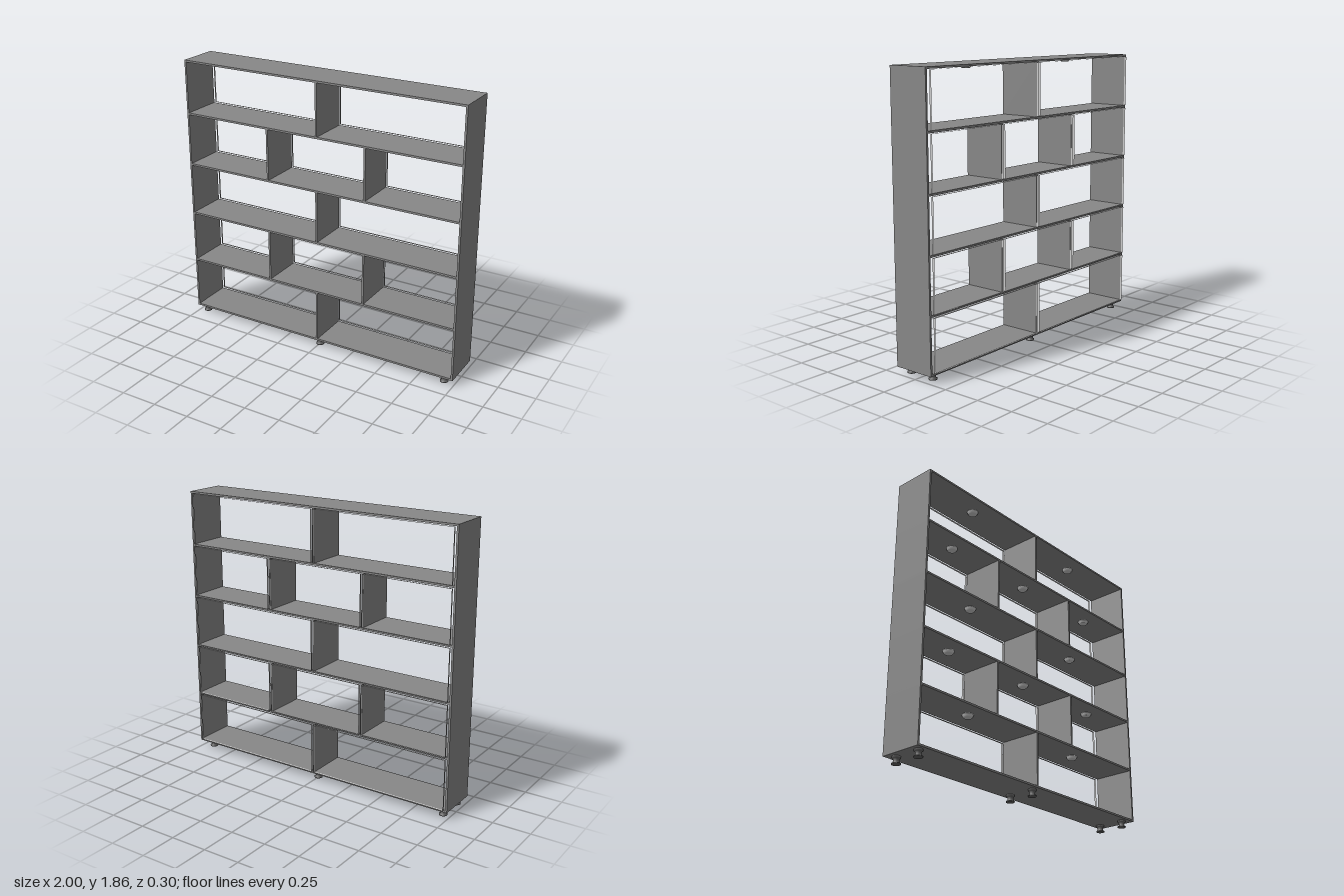
import * as THREE from 'three';

const wood = new THREE.MeshStandardMaterial({ color: 0x888888 });
const pale = new THREE.MeshStandardMaterial({ color: 0xcccccc, side: THREE.DoubleSide });
const dark = new THREE.MeshStandardMaterial({ color: 0x606060 });

const FRONT = 0.15, BACK = -0.133;      // carcass depth
const T = 0.013;                        // board thickness
const ROWS = 5, PITCH = 0.359, BASE = 0.0535;

export function createModel() {
  const root = new THREE.Group();
  root.name = 'bookcase';

  function add(name, geometry, material, x, y, z) {
    const mesh = new THREE.Mesh(geometry, material);
    mesh.name = name;
    mesh.position.set(x, y, z);
    root.add(mesh);
  }

  // Board given by its limits, running the full depth
  function board(name, x0, x1, y0, y1) {
    add(name, new THREE.BoxGeometry(x1 - x0, y1 - y0, FRONT - BACK), wood,
      (x0 + x1) / 2, (y0 + y1) / 2, (FRONT + BACK) / 2);
  }

  // Edge band behind one compartment: a box without its front and back
  function backFrame(x0, x1, y0, y1) {
    const geometry = new THREE.BoxGeometry(x1 - x0, y1 - y0, 0.014);
    geometry.setIndex(Array.from(geometry.index.array.slice(0, 24)));
    geometry.clearGroups();
    add('backFrame', geometry, pale, (x0 + x1) / 2, (y0 + y1) / 2, -0.143);
  }

  // Horizontal boards
  const shelfY = i => BASE + i * PITCH;
  for (let i = 0; i <= ROWS; i++) {
    const name = i === 0 ? 'bottomBoard' : i === ROWS ? 'topBoard' : 'shelf';
    board(name, -1, 1, shelfY(i) - T / 2, shelfY(i) + T / 2);
  }

  // Shallow tapered lamp housing, closed at the top
  const lampGeometry = new THREE.LatheGeometry([
    [0, 0], [0.026, 0], [0.03, 0.004], [0.036, 0.017], [0.036, 0.021], [0, 0.021],
  ].map(p => new THREE.Vector2(...p)), 24);

  // Rows: side panels, staggered dividers, back frames and lamps
  for (let r = 0; r < ROWS; r++) {
    const y0 = shelfY(r) + T / 2, y1 = shelfY(r + 1) - T / 2;
    const odd = r % 2 === 1;
    const dividers = odd ? [-0.366, 0.347] : [0.002];
    const lamps = odd ? [-0.674, 0.002, 0.666] : [-0.497, 0.495];

    board('rightSidePanel', -1, -1 + T, y0, y1);
    board('leftSidePanel', 1 - T, 1, y0, y1);
    dividers.forEach(x => board('divider', x - T / 2, x + T / 2, y0, y1));

    const edges = [-0.988, ...dividers, 0.98];
    for (let i = 0; i < edges.length - 1; i++) {
      backFrame(edges[i] + 0.008, edges[i + 1] - 0.008, y0 + 0.004, y1 - 0.003);
    }
    lamps.forEach(x => add('lamp', lampGeometry, pale, x, y1 - 0.021, 0.028));
  }

  // Turned feet, wide at the floor and at the top
  const footGeometry = new THREE.LatheGeometry([
    [0, 0], [0.027, 0], [0.028, 0.006], [0.019, 0.011], [0.018, 0.026],
    [0.021, 0.034], [0.027, 0.037], [0.027, 0.048], [0, 0.048],
  ].map(p => new THREE.Vector2(...p)), 20);
  for (const x of [-0.948, 0.002, 0.925]) {
    for (const z of [0.103, -0.076]) add('foot', footGeometry, dark, x, 0, z);
  }

  return root;
}
